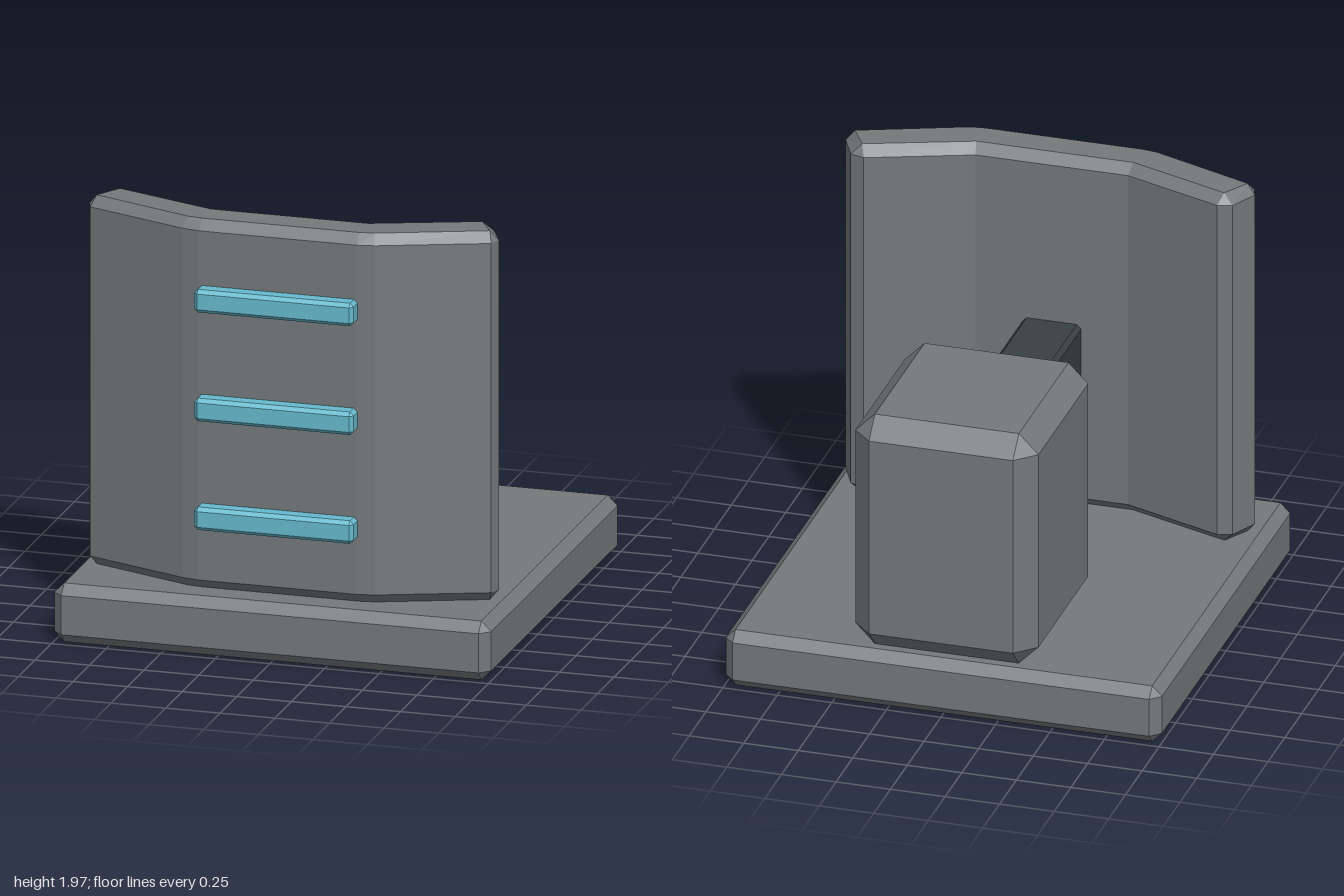
import * as THREE from 'three';
import { ConvexGeometry } from 'three/addons/geometries/ConvexGeometry.js';

const material = (name, color) => {
  const m = new THREE.MeshStandardMaterial({ color });
  m.name = name;
  return m;
};

// Box between two corners with every edge and corner cut off by c
function bevelBox(min, max, c) {
  const half = max.map((v, i) => (v - min[i]) / 2);
  const mid = max.map((v, i) => (v + min[i]) / 2);
  const points = [];
  for (const sx of [-1, 1]) for (const sy of [-1, 1]) for (const sz of [-1, 1]) {
    for (let axis = 0; axis < 3; axis++) {
      const p = [sx, sy, sz].map((s, i) => mid[i] + s * (half[i] - (i === axis ? 0 : c)));
      points.push(new THREE.Vector3(...p));
    }
  }
  return new ConvexGeometry(points);
}

// Bent plate lofted upward through bevelled outlines
function bentPlate() {
  // Right half of each outline as [x, z], from front to back
  const full = [[0.36, 0.88], [0.44, 0.865], [0.918, 0.685], [0.938, 0.63], [0.875, 0.5], [0.81, 0.482], [0.35, 0.652]];
  const inset = [[0.36, 0.835], [0.43, 0.825], [0.9, 0.645], [0.9, 0.645], [0.83, 0.525], [0.83, 0.525], [0.36, 0.697]];
  const ring = (half, y) => [...half, ...half.map(([x, z]) => [-x, z]).reverse()]
    .map(([x, z]) => new THREE.Vector3(x, y, z));
  const rings = [ring(inset, 0.27), ring(full, 0.315), ring(full, 1.92), ring(inset, 1.965)];
  const n = rings[0].length;
  const pos = [];
  const tri = (a, b, c) => {
    const area = b.clone().sub(a).cross(c.clone().sub(a)).length();
    if (area > 1e-7) for (const p of [a, b, c]) pos.push(p.x, p.y, p.z);
  };
  for (let k = 0; k < rings.length - 1; k++) for (let i = 0; i < n; i++) {
    const j = (i + 1) % n, lo = rings[k], hi = rings[k + 1];
    tri(lo[i], lo[j], hi[j]);
    tri(lo[i], hi[j], hi[i]);
  }
  // Top and bottom caps
  const flat = rings[0].map((p) => new THREE.Vector2(p.x, -p.z));
  for (const [a, b, c] of THREE.ShapeUtils.triangulateShape(flat, [])) {
    tri(rings[3][a], rings[3][b], rings[3][c]);
    tri(rings[0][a], rings[0][c], rings[0][b]);
  }
  const geometry = new THREE.BufferGeometry();
  geometry.setAttribute('position', new THREE.Float32BufferAttribute(pos, 3));
  geometry.computeVertexNormals();
  return geometry;
}

export function createModel() {
  const group = new THREE.Group();
  const grey = material('grey metal', 0x75797b);
  const dark = material('dark metal', 0x384040);
  const cyan = material('cyan light', 0x66bace);
  const add = (name, geometry, mat) => {
    const mesh = new THREE.Mesh(geometry, mat);
    mesh.name = name;
    group.add(mesh);
  };

  add('base', bevelBox([-1, 0, -1], [1, 0.27, 1], 0.045), grey);
  add('rearBlock', bevelBox([-0.42, 0.27, -1], [0.42, 1.39, -0.08], 0.09), grey);
  add('connectingArm', bevelBox([-0.135, 0.77, -0.2], [0.135, 1.16, 0.72], 0.02), dark);
  add('shield', bentPlate(), grey);

  // Light bars on the front of the shield
  for (const y of [0.617, 1.117, 1.617]) {
    add('lightBar', bevelBox([-0.365, y - 0.053, 0.85], [0.365, y + 0.053, 0.955], 0.017), cyan);
  }
  return group;
}
